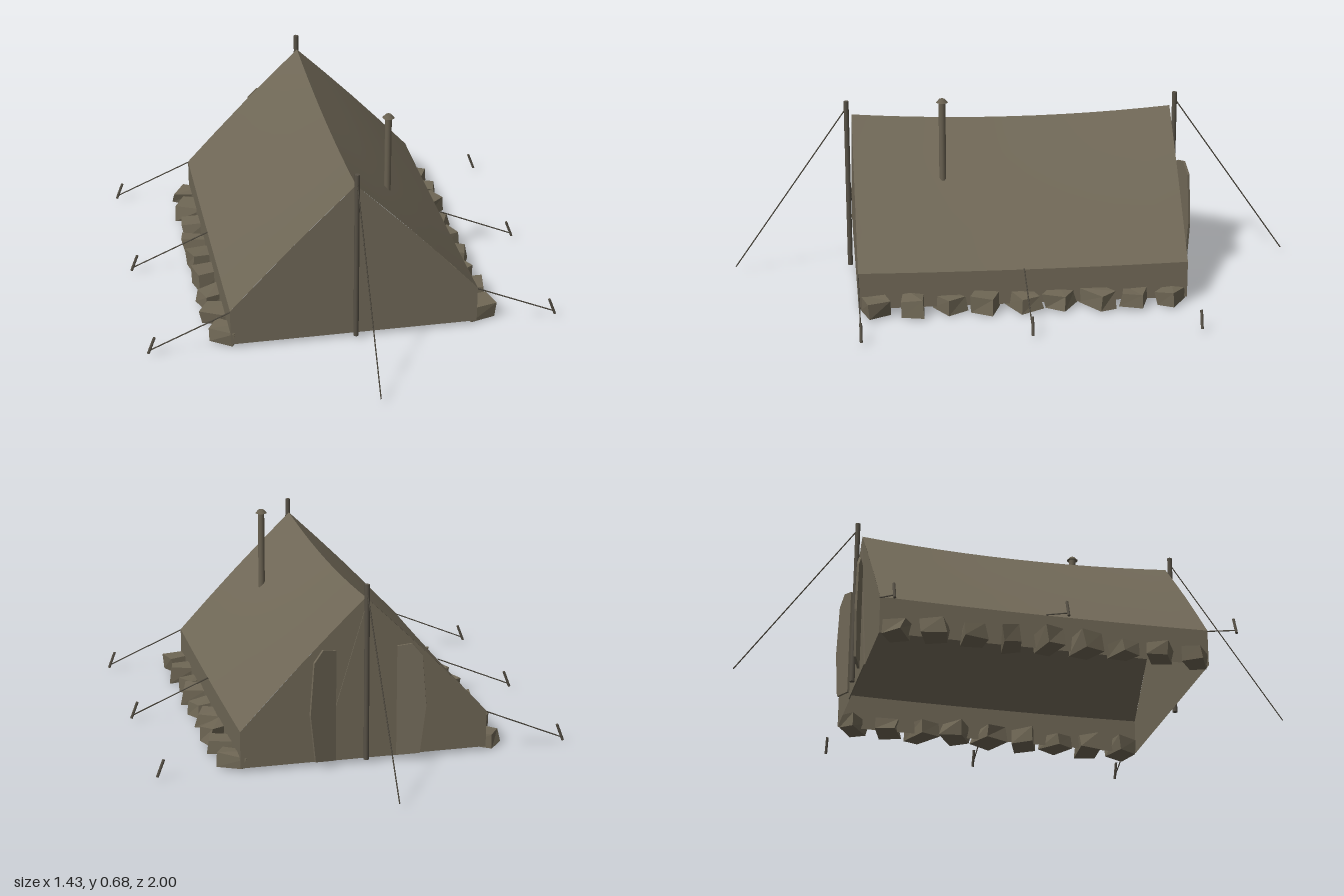
import * as THREE from 'three';

const mat = (name, color, extra = {}) => {
  const m = new THREE.MeshStandardMaterial({ color, ...extra });
  m.name = name;
  return m;
};

export function createModel() {
  const canvas = mat('canvas', 0x706857, { side: THREE.DoubleSide });
  const stone = mat('stone', 0x6f6755, { flatShading: true });
  const pole = mat('pole', 0x575146);
  const pipe = mat('stovepipe', 0x686050);
  const rope = mat('rope', 0x4c473d);

  const group = new THREE.Group();
  const add = (name, geo, material, x = 0, y = 0, z = 0) => {
    const m = new THREE.Mesh(geo, material);
    m.name = name;
    m.position.set(x, y, z);
    group.add(m);
    return m;
  };

  // Thin cylinder between two points
  const rod = (name, a, b, r, material, sides = 6) => {
    const A = new THREE.Vector3(...a), B = new THREE.Vector3(...b);
    const m = add(name, new THREE.CylinderGeometry(r, r, A.distanceTo(B), sides), material);
    m.position.copy(A).lerp(B, 0.5);
    m.quaternion.setFromUnitVectors(new THREE.Vector3(0, 1, 0), B.sub(A).normalize());
  };

  const L = 0.57, W = 0.43, BASE = 0.015, EAVE = 0.145, RIDGE = 0.583;
  const sag = z => 1 - (z / L) ** 2;

  // Sheet: u runs along the tent, v across it from point p to point q
  const sheet = (nu, nv, fn) => {
    const g = new THREE.PlaneGeometry(1, 1, nu, nv);
    const p = g.attributes.position;
    for (let i = 0; i < p.count; i++) p.setXYZ(i, ...fn(p.getX(i) + 0.5, p.getY(i) + 0.5));
    g.computeVertexNormals();
    return g;
  };

  // Sagging roof slopes and low side walls
  for (const s of [-1, 1]) {
    const along = u => s * L * (1 - 2 * u);
    add(s > 0 ? 'leftRoof' : 'rightRoof', sheet(12, 4, (u, v) => {
      const z = along(u);
      const low = EAVE - 0.006 * sag(z), high = RIDGE - 0.024 * sag(z);
      return [s * W * (1 - v), low + (high - low) * v + 0.008 * Math.sin(Math.PI * v), z];
    }), canvas);
    add(s > 0 ? 'leftWall' : 'rightWall', sheet(12, 1, (u, v) => {
      const z = along(u);
      return [s * W, BASE + (EAVE - 0.006 * sag(z) - BASE) * v, z];
    }), canvas);
  }

  // Gable ends
  const gable = new THREE.Shape();
  gable.moveTo(-W, BASE);
  gable.lineTo(W, BASE);
  gable.lineTo(W, EAVE);
  gable.lineTo(W / 2, (EAVE + RIDGE) / 2 + 0.008);
  gable.lineTo(0, RIDGE);
  gable.lineTo(-W / 2, (EAVE + RIDGE) / 2 + 0.008);
  gable.lineTo(-W, EAVE);
  add('frontGable', new THREE.ShapeGeometry(gable), canvas, 0, 0, L);
  add('backGable', new THREE.ShapeGeometry(gable), canvas, 0, 0, -L).rotation.y = Math.PI;

  // Triangular door panel in the back end
  const door = new THREE.Shape();
  door.moveTo(-0.16, BASE);
  door.lineTo(0.16, BASE);
  door.lineTo(0, RIDGE - 0.03);
  add('doorPanel', new THREE.ExtrudeGeometry(door, { depth: 0.004, bevelEnabled: false }), canvas, 0, 0, -L - 0.004);

  // Door flaps folded outward beside the door
  for (const s of [-1, 1]) {
    const flap = new THREE.Shape();
    flap.moveTo(0, 0.02);
    flap.lineTo(s * 0.08, 0.03);
    flap.lineTo(s * 0.1, 0.2);
    flap.lineTo(s * 0.085, 0.38);
    flap.lineTo(s * 0.05, 0.42);
    flap.lineTo(0, 0.41);
    const m = add('doorFlap', new THREE.ExtrudeGeometry(flap, { depth: 0.008, bevelEnabled: false }), canvas,
      s * 0.105, 0, -L - 0.018);
    m.rotation.y = s * 0.32;
  }

  // End poles with their long guy lines
  for (const s of [-1, 1]) {
    rod('endPole', [0, BASE, s * 0.588], [0, 0.632, s * 0.588], 0.009, pole, 10);
    rod('endRope', [0, 0.605, s * 0.59], [0, 0.022, s], 0.0022, rope);
  }

  // Side guy lines and pegs
  for (const s of [-1, 1]) {
    for (const z of [-L, 0, L]) {
      if (!(s > 0 && z < 0)) rod('sideRope', [s * W, 0.142, z], [s * 0.705, 0.024, z], 0.0022, rope);
      rod('peg', [s * 0.711, 0.012, z], [s * 0.688, 0.072, z], 0.005, pole);
    }
  }

  // Stovepipe with a rain cap
  add('stovepipe', new THREE.CylinderGeometry(0.012, 0.012, 0.31, 12), pipe, 0.175, 0.515, 0.26);
  add('pipeCap', new THREE.CylinderGeometry(0.01, 0.021, 0.012, 12), pipe, 0.175, 0.676, 0.26);

  // Rough stones weighing down the wall edges
  let seed = 17;
  const rnd = (a, b) => {
    seed = (seed * 16807) % 2147483647;
    return a + (b - a) * (seed / 2147483647);
  };
  for (const s of [-1, 1]) {
    for (let i = 0; i < 9; i++) {
      const h = rnd(0.045, 0.06);
      const g = new THREE.BoxGeometry(rnd(0.085, 0.11), h, rnd(0.06, 0.085));
      const jitter = Array.from({ length: 8 }, () => [rnd(-0.01, 0.01), rnd(-0.005, 0.008), rnd(-0.01, 0.01)]);
      const p = g.attributes.position;
      for (let k = 0; k < p.count; k++) {
        const x = p.getX(k), y = p.getY(k), z = p.getZ(k);
        const j = jitter[(x > 0 ? 1 : 0) + (y > 0 ? 2 : 0) + (z > 0 ? 4 : 0)];
        p.setXYZ(k, x + j[0], y + j[1], z + j[2]);
      }
      g.computeVertexNormals();
      const m = add('stone', g, stone, s * rnd(0.435, 0.455), h / 2 + 0.006, -0.515 + i * 0.129);
      m.rotation.y = rnd(-0.6, 0.6);
    }
  }

  return group;
}
